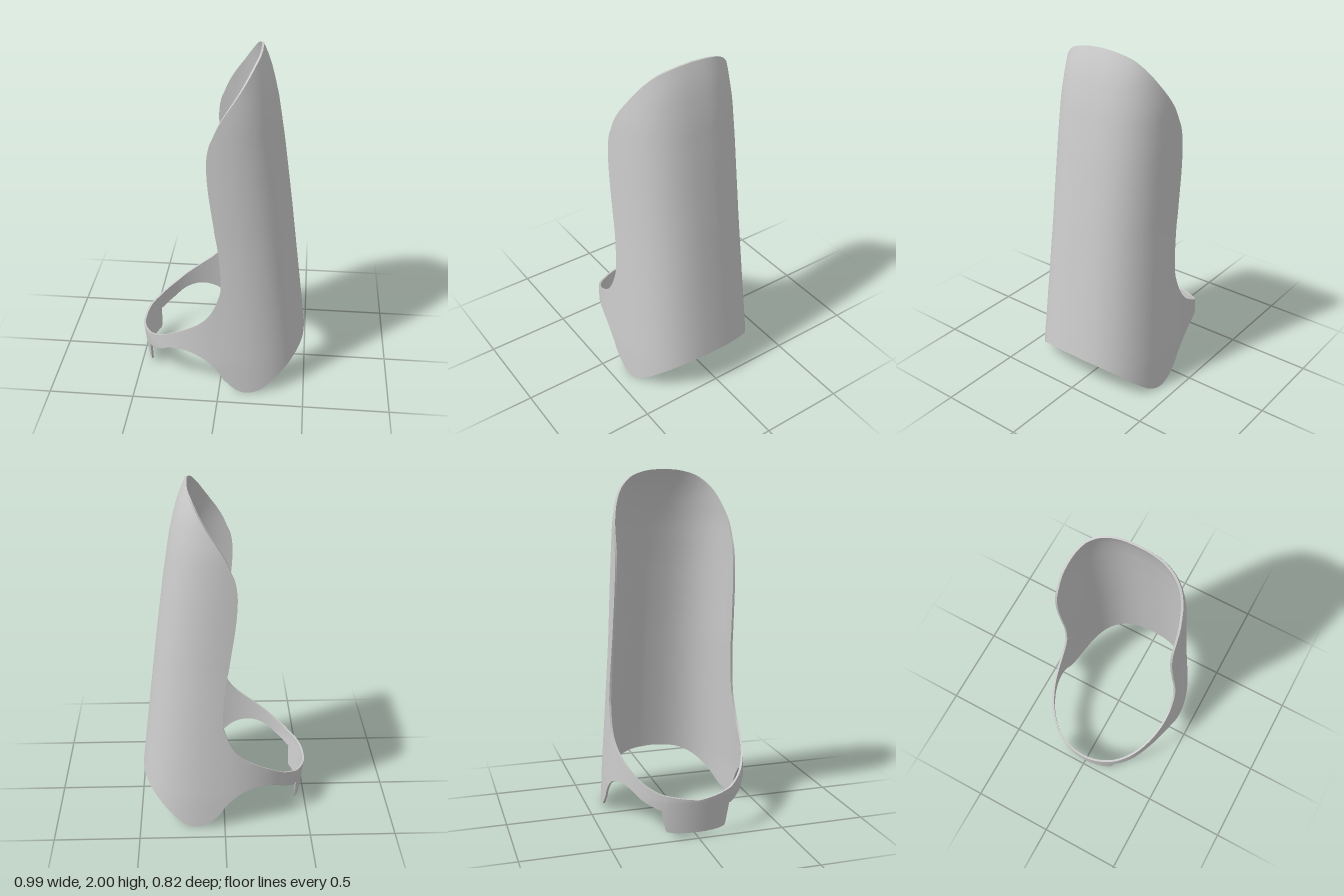
import * as THREE from 'three';
import { toCreasedNormals } from 'three/addons/utils/BufferGeometryUtils.js';

const THICKNESS = 0.012;
const ROWS = 30;

// Linear lookup in a list of [key, value] pairs
function lookup(table, k) {
  let i = 1;
  while (i < table.length - 1 && table[i][0] < k) i++;
  const [k0, v0] = table[i - 1], [k1, v1] = table[i];
  return v0 + (v1 - v0) * (k - k0) / (k1 - k0);
}

// Shell section by height: front reach, half width and centre
const FRONT = [[0, 0.518], [0.23, 0.49], [1.07, 0.387], [1.45, 0.336], [1.7, 0.296], [1.85, 0.262], [1.95, 0.228], [2, 0.205]];
const WIDTH = [[0, 0.412], [0.2, 0.408], [0.6, 0.387], [1, 0.368], [1.5, 0.355], [1.7, 0.348], [1.9, 0.325], [2, 0.3]];
const centre = (y) => 0.03 - 0.05 * y;
const backReach = (y) => 0.505 + 0.08 * Math.min(y, 0.22);
const FRONT_POWER = 2.5, BACK_POWER = 2.1;

// Point on the shell at an angle (0 = shin, PI = heel) and a height
function shellPoint(angle, y, inset) {
  const c = Math.cos(angle), s = Math.sin(angle);
  const n = c > 0 ? FRONT_POWER : BACK_POWER;
  const a = (c > 0 ? lookup(FRONT, y) - centre(y) : backReach(y)) - inset;
  const b = lookup(WIDTH, y) - inset;
  return [
    centre(y) + a * Math.sign(c) * Math.abs(c) ** (2 / n),
    y,
    b * Math.sign(s) * Math.abs(s) ** (2 / n),
  ];
}

// Angle at which the shell passes through x at height y
function angleAt(x, y) {
  const d = x - centre(y);
  const a = d > 0 ? lookup(FRONT, y) - centre(y) : backReach(y);
  const c = Math.min(1, Math.abs(d) / a) ** ((d > 0 ? FRONT_POWER : BACK_POWER) / 2);
  return Math.acos(Math.sign(d) * c);
}

// Paired rim points from shin to heel: lower x, y and upper x, y
const RIMS = [
  [0.49, 0.23, 0.205, 2], [0.475, 0.217, 0.2, 1.99], [0.44, 0.185, 0.17, 1.95],
  [0.4, 0.147, 0.1, 1.84], [0.35, 0.1, 0, 1.69], [0.3, 0.057, -0.05, 1.58],
  [0.25, 0.02, -0.067, 1.49], [0.2, 0.003, -0.067, 1.41], [0.17, 0, -0.058, 1.3],
  [0.14, 0.006, -0.03, 1.1], [0.1, 0.025, 0, 0.9], [0.05, 0.07, 0.01, 0.75],
  [0, 0.14, 0, 0.65], [-0.07, 0.213, -0.04, 0.55], [-0.14, 0.25, -0.1, 0.475],
  [-0.22, 0.263, -0.2, 0.405], [-0.3, 0.243, -0.28, 0.355], [-0.36, 0.203, -0.35, 0.308],
  [-0.43, 0.163, -0.43, 0.262],
];

// Columns of one side: lower and upper ends as (angle, height)
function halfColumns() {
  const rim = (k) => new THREE.CatmullRomCurve3(
    RIMS.map((r) => new THREE.Vector3(angleAt(r[k], r[k + 1]), r[k + 1], 0)));
  const lower = rim(0), upper = rim(2);
  const columns = [];
  const count = (RIMS.length - 1) * 4;
  for (let i = 0; i <= count; i++) {
    const p = lower.getPoint(i / count), q = upper.getPoint(i / count);
    columns.push([p.x, Math.max(0, p.y), q.x, Math.min(2, q.y)]);
  }
  // Heel tab: a step down, rounded corner, then level to the centre
  const tab = [[0.5, 0.165], [0.49, 0.165], [0.425, 0.045], [0.4, 0.032], [0.3, 0.028], [0.2, 0.028], [0.1, 0.028], [0, 0.028]];
  for (const [off, y] of tab) {
    columns.push([Math.PI - off, y, Math.PI - off, 0.225 + 0.06 * off]);
  }
  return columns;
}

// Closed wall: every column is a loop up the outside and down the inside
function shellGeometry() {
  const half = halfColumns();
  const mirrored = half.slice(1, -1).reverse().map(([a, y, b, t]) => [-a, y, -b, t]);
  const columns = [...half, ...mirrored];
  const loop = 2 * (ROWS + 1);
  const positions = [], index = [];
  columns.forEach(([a0, y0, a1, y1], i) => {
    for (let j = 0; j < loop; j++) {
      const inside = j > ROWS;
      const t = (inside ? loop - 1 - j : j) / ROWS;
      positions.push(...shellPoint(a0 + (a1 - a0) * t, y0 + (y1 - y0) * t, inside ? THICKNESS : 0));
      const next = ((i + 1) % columns.length) * loop, here = i * loop, k = (j + 1) % loop;
      index.push(here + j, here + k, next + j, here + k, next + k, next + j);
    }
  });
  const geometry = new THREE.BufferGeometry();
  geometry.setAttribute('position', new THREE.Float32BufferAttribute(positions, 3));
  geometry.setIndex(index);
  return toCreasedNormals(geometry, 0.6);
}

export function createModel() {
  const group = new THREE.Group();
  group.name = 'shinGuard';
  const shell = new THREE.Mesh(
    shellGeometry(),
    new THREE.MeshStandardMaterial({ color: 0xcccccc, side: THREE.DoubleSide }));
  shell.name = 'guardShell';
  group.add(shell);
  return group;
}
